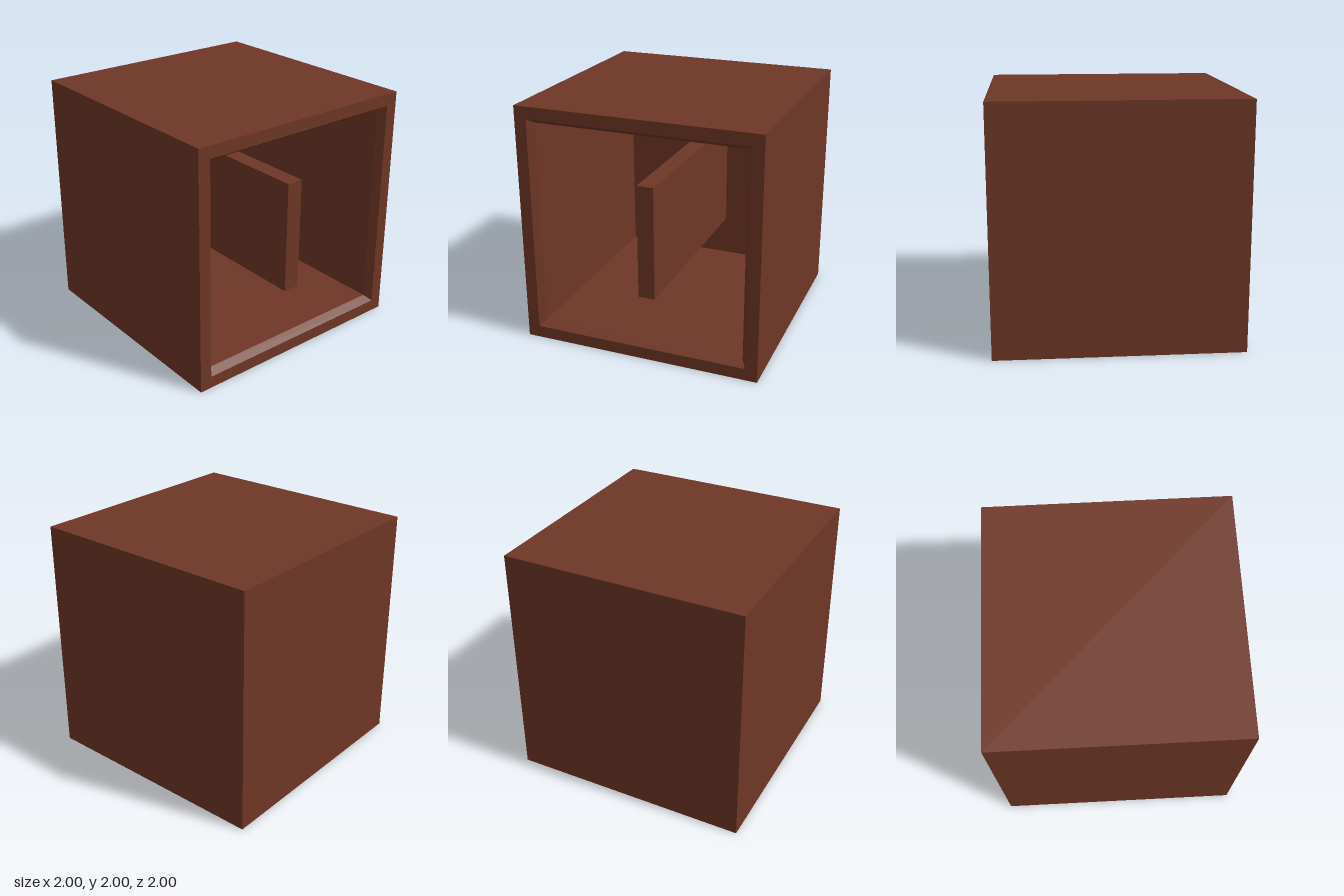
import * as THREE from 'three';

export function createModel() {
  const model = new THREE.Group();
  model.name = 'openBox';

  const brown = new THREE.MeshStandardMaterial({ color: 0x6f3726 });
  brown.name = 'reddish brown';
  brown.flatShading = true;

  // Hollow box: a four-sided lathe about z, given as [half width, z]
  const profile = [
    [0, -1], [1, -1], [1, 1],        // back and outer walls
    [0.9, 1], [0.86, 0.935],         // front rim and its bevel
    [0.86, -0.87], [0, -0.87],       // inner walls and inner back
  ].map(([half, z]) => new THREE.Vector2(half * Math.SQRT2, z));
  const shellGeometry = new THREE.LatheGeometry(profile, 4, Math.PI / 4)
    .rotateX(Math.PI / 2)
    .toNonIndexed();
  shellGeometry.computeVertexNormals();
  const shell = new THREE.Mesh(shellGeometry, brown);
  shell.name = 'shell';
  shell.position.y = 1;
  model.add(shell);

  // Upright slab reaching forward from the inner back wall
  const front = 0.88, back = -0.88;
  const slab = new THREE.Mesh(new THREE.BoxGeometry(0.14, 0.95, front - back), brown);
  slab.name = 'innerSlab';
  slab.position.set(0.03, 0.96, (front + back) / 2);
  model.add(slab);

  return model;
}
